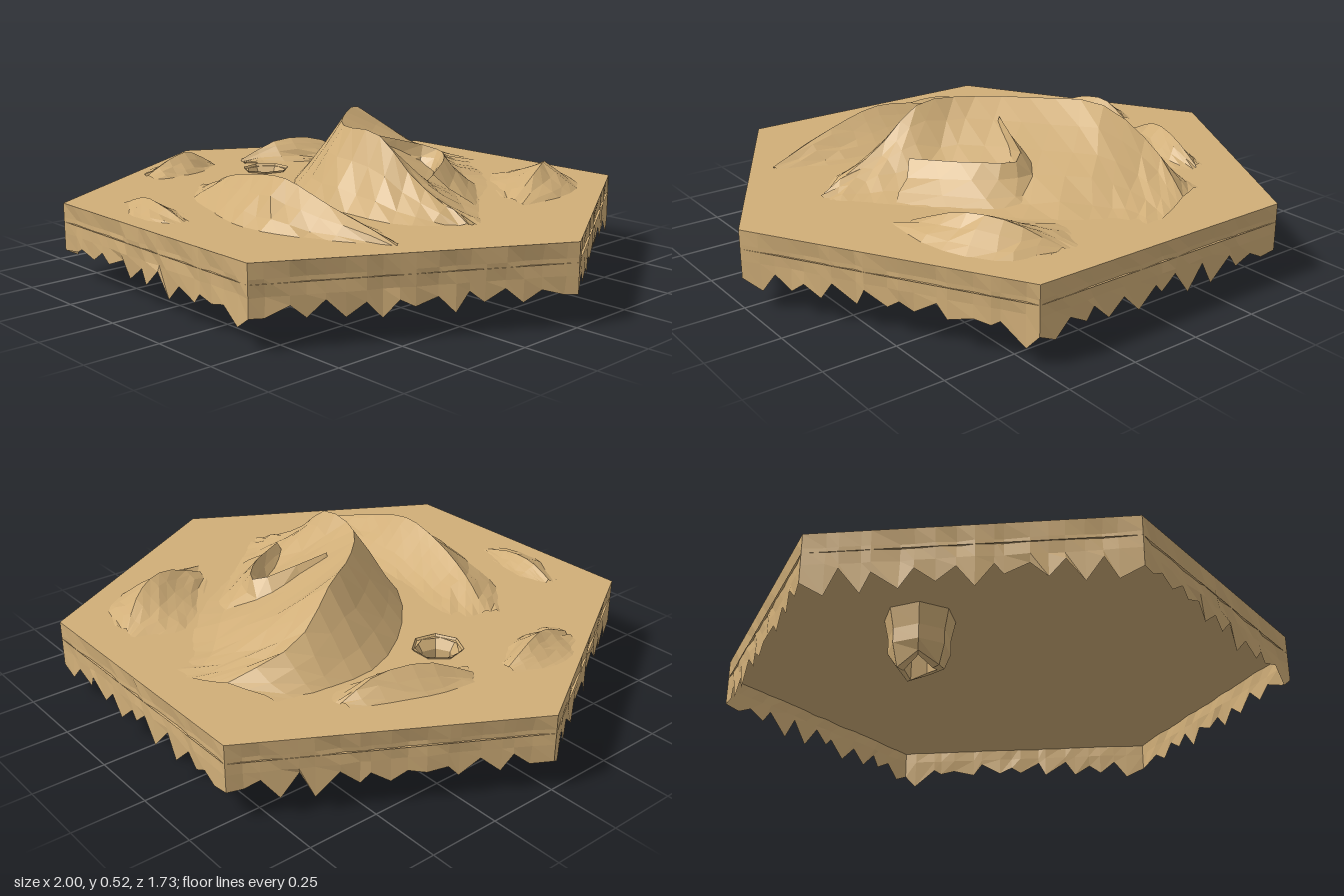
import * as THREE from 'three';

const TOP = 0.275;
const UNDER = 0.21;
const HOLE = { x: -0.465, z: 0.01 };

let seed = 7;
const rnd = () => (seed = (seed * 16807) % 2147483647) / 2147483647;

const sand = new THREE.MeshStandardMaterial({ color: 0xd0ae78, flatShading: true, side: THREE.DoubleSide });

function addMesh(group, name, geometry) {
  const mesh = new THREE.Mesh(geometry, sand);
  mesh.name = name;
  group.add(mesh);
  return mesh;
}

// Surface through rows of equally many points
function loft(rows) {
  const n = rows[0].length;
  const index = [];
  for (let i = 0; i < rows.length - 1; i++) {
    for (let j = 0; j < n - 1; j++) {
      const a = i * n + j, b = a + 1, c = a + n, d = c + 1;
      index.push(a, c, b, b, c, d);
    }
  }
  const g = new THREE.BufferGeometry();
  g.setAttribute('position', new THREE.Float32BufferAttribute(rows.flat(2), 3));
  g.setIndex(index);
  g.computeVertexNormals();
  return g;
}

// Dune from stations [toeX, toeZ, crestX, crestZ, crestHeight, heelX, heelZ]
function dune(stations, samples, rough = 0.008) {
  const curve = (f) => new THREE.CatmullRomCurve3(stations.map(f), false, 'centripetal');
  const toe = curve((s) => new THREE.Vector3(s[0], 0, s[1]));
  const crest = curve((s) => new THREE.Vector3(s[2], s[4], s[3]));
  const heel = curve((s) => new THREE.Vector3(s[5], 0, s[6]));
  const rows = [];
  for (let i = 0; i <= samples; i++) {
    const u = i / samples;
    const t = toe.getPoint(u), c = crest.getPoint(u), h = heel.getPoint(u);
    const row = [];
    const add = (foot, k, power) => {
      const p = foot.clone().lerp(c, k);
      const bump = k > 0 && k < 1 ? (rnd() - 0.5) * 2 * rough : 0;
      row.push([p.x + bump, TOP - 0.004 + Math.max(0, c.y * k ** power + bump), p.z + bump]);
    };
    for (const k of [0, 0.3, 0.65, 1]) add(t, k, 1.15);
    for (const k of [0.82, 0.62, 0.42, 0.2, 0]) add(h, k, 1.45);
    rows.push(row);
  }
  return loft(rows);
}

const hexCorner = (i) => [Math.cos((i * Math.PI) / 3), Math.sin((i * Math.PI) / 3)];

// Hexagonal plate pierced by the sinkhole
function plate(y) {
  const shape = new THREE.Shape();
  for (let i = 0; i < 6; i++) shape[i ? 'lineTo' : 'moveTo'](...hexCorner(i));
  shape.closePath();
  const hole = new THREE.Path();
  for (let i = 0; i < 7; i++) {
    const a = (-i / 7) * Math.PI * 2;
    hole[i ? 'lineTo' : 'moveTo'](HOLE.x + 0.075 * Math.cos(a), -HOLE.z + 0.075 * Math.sin(a));
  }
  hole.closePath();
  shape.holes.push(hole);
  return new THREE.ShapeGeometry(shape).rotateX(-Math.PI / 2).translate(0, y, 0);
}

// One side wall with a ragged lower edge
function rim(i) {
  const [ax, az] = hexCorner(i), [bx, bz] = hexCorner(i + 1);
  const count = 18;
  const rows = [];
  for (let k = 0; k <= count; k++) {
    const end = k === 0 || k === count;
    const t = end ? k / count : (k + (rnd() - 0.5) * 0.6) / count;
    const x = ax + (bx - ax) * t, z = az + (bz - az) * t;
    const tip = end ? 0.11 : k % 2 ? 0.065 + rnd() * 0.05 : 0.12 + rnd() * 0.035;
    rows.push([TOP, 0.225, 0.17, tip].map((y, r) => {
      const inset = end || r === 0 ? 1 : 1 - rnd() * 0.012;
      return [x * inset, y, z * inset];
    }));
  }
  return loft(rows);
}

export function createModel() {
  const model = new THREE.Group();
  model.name = 'desertTile';

  // Slab
  addMesh(model, 'groundTop', plate(TOP));
  addMesh(model, 'groundUnderside', plate(UNDER));
  for (let i = 0; i < 6; i++) addMesh(model, 'raggedRim', rim(i));

  // Sinkhole: funnel inside, tapering rocky spout outside
  const profile = [[0.088, TOP + 0.008], [0.06, 0.24], [0.055, 0.12], [0.06, 0.03],
    [0.085, 0.035], [0.105, 0.09], [0.105, 0.14], [0.12, UNDER]];
  const spout = new THREE.LatheGeometry(profile.map(([r, y]) => new THREE.Vector2(r, y)), 7);
  const p = spout.attributes.position;
  for (let i = 0; i < p.count; i++) {
    const a = Math.atan2(p.getZ(i), p.getX(i));
    if (p.getY(i) < 0.05) p.setY(i, p.getY(i) + 0.025 * Math.sin(a * 3 + 1));
  }
  addMesh(model, 'sinkhole', spout.translate(HOLE.x, 0, HOLE.z));

  // Great dune with a steep slip face toward the front left
  addMesh(model, 'greatDune', dune([
    [-0.42, -0.60, -0.25, -0.68, 0.03, -0.02, -0.76],
    [-0.44, -0.45, -0.32, -0.46, 0.13, 0.00, -0.68],
    [-0.44, -0.24, -0.25, -0.27, 0.245, 0.10, -0.60],
    [-0.28, 0.02, -0.12, -0.08, 0.245, 0.32, -0.42],
    [-0.02, 0.22, 0.06, 0.08, 0.245, 0.45, -0.20],
    [0.25, 0.27, 0.25, 0.11, 0.245, 0.55, -0.08],
    [0.50, 0.25, 0.42, 0.11, 0.12, 0.62, 0.00],
    [0.60, 0.16, 0.64, 0.10, 0.01, 0.68, 0.05],
  ], 18));

  // Spur on the windward slope
  addMesh(model, 'duneSpur', dune([
    [-0.06, -0.10, 0.03, -0.06, 0.20, 0.14, -0.02],
    [-0.02, -0.34, 0.13, -0.30, 0.13, 0.20, -0.14],
    [0.20, -0.42, 0.25, -0.22, 0.125, 0.24, -0.06],
    [0.50, -0.12, 0.38, -0.02, 0.11, 0.28, 0.06],
  ], 8));

  // Front dune
  addMesh(model, 'frontDune', dune([
    [-0.42, 0.36, -0.38, 0.32, 0.01, -0.36, 0.18],
    [-0.27, 0.50, -0.22, 0.38, 0.07, -0.20, 0.20],
    [-0.02, 0.59, 0.00, 0.44, 0.12, 0.00, 0.25],
    [0.18, 0.63, 0.20, 0.47, 0.14, 0.20, 0.28],
    [0.40, 0.58, 0.40, 0.47, 0.09, 0.42, 0.31],
    [0.66, 0.44, 0.66, 0.43, 0.01, 0.62, 0.37],
  ], 15));

  // Small dunes around the edge
  addMesh(model, 'leftBackDune', dune([
    [-0.59, -0.46, -0.54, -0.46, 0.01, -0.48, -0.48],
    [-0.64, -0.32, -0.56, -0.34, 0.07, -0.44, -0.36],
    [-0.69, -0.18, -0.61, -0.18, 0.08, -0.50, -0.16],
    [-0.71, -0.04, -0.66, -0.02, 0.01, -0.60, 0.00],
  ], 7, 0.006));
  addMesh(model, 'leftFrontDune', dune([
    [-0.58, 0.42, -0.66, 0.42, 0.01, -0.74, 0.40],
    [-0.58, 0.32, -0.67, 0.30, 0.06, -0.80, 0.30],
    [-0.60, 0.20, -0.70, 0.20, 0.065, -0.80, 0.19],
    [-0.66, 0.10, -0.71, 0.09, 0.01, -0.76, 0.08],
  ], 7, 0.006));
  addMesh(model, 'frontDrift', dune([
    [-0.37, 0.72, -0.36, 0.68, 0.01, -0.34, 0.65],
    [-0.26, 0.78, -0.25, 0.70, 0.04, -0.24, 0.62],
    [-0.12, 0.81, -0.12, 0.72, 0.035, -0.11, 0.64],
    [0.00, 0.76, 0.00, 0.72, 0.005, 0.00, 0.68],
  ], 7, 0.005));
  addMesh(model, 'rightBackDune', dune([
    [0.36, -0.74, 0.30, -0.72, 0.01, 0.22, -0.74],
    [0.50, -0.68, 0.40, -0.60, 0.08, 0.16, -0.58],
    [0.60, -0.48, 0.48, -0.46, 0.085, 0.26, -0.44],
    [0.60, -0.24, 0.53, -0.27, 0.01, 0.42, -0.30],
  ], 8, 0.006));

  return model;
}
